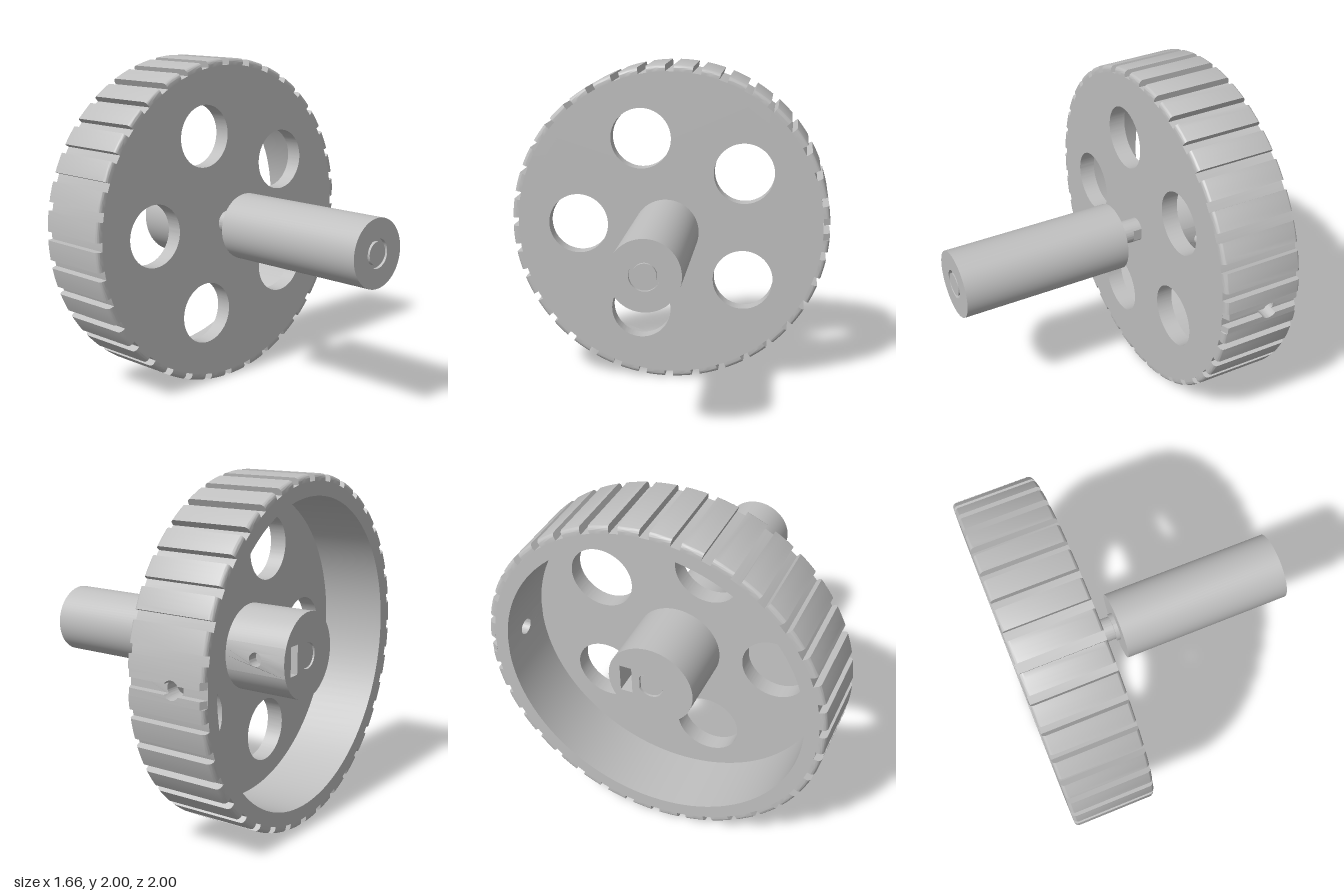
import * as THREE from 'three';
import { toCreasedNormals } from 'three/addons/utils/BufferGeometryUtils.js';

const X0 = -0.835, X1 = -0.355;          // wheel sides
const R = 1, FLOOR = 0.96, INNER = 0.88; // tread top, groove floor, rim inside
const TREADS = 36, HALF_GROOVE = 0.027;
const HUB = 0.25, HOLE_X = -0.64;
const PANEL = 0.07;                      // half angle of the drilled rim panel
const V = (x, y) => new THREE.Vector2(x, y);

export function createModel() {
  const grey = new THREE.MeshStandardMaterial({ color: 0xbfbfbf });
  grey.name = 'grey';
  const model = new THREE.Group();
  const wheel = new THREE.Group();
  wheel.name = 'wheel';
  const motor = new THREE.Group();
  motor.name = 'motor';
  wheel.position.y = motor.position.y = 1;
  model.add(wheel, motor);

  const add = (parent, name, geometry) => {
    const mesh = new THREE.Mesh(toCreasedNormals(geometry, 0.5), grey);
    mesh.name = name;
    parent.add(mesh);
  };
  // move every vertex by a rule
  const warp = (geometry, rule) => {
    const p = geometry.attributes.position;
    for (let i = 0; i < p.count; i++) p.setXYZ(i, ...rule(p.getX(i), p.getY(i), p.getZ(i)));
    return geometry;
  };
  const extrude = (shape, depth, steps = 1, curveSegments = 48) =>
    new THREE.ExtrudeGeometry(shape, { depth, steps, curveSegments, bevelEnabled: false });
  // plate in the wheel plane (shape x = -z), from x = a to x = b
  const plate = (shape, a, b, seg) =>
    extrude(shape, b - a, 1, seg).rotateY(Math.PI / 2).translate(a, 0, 0);
  // profile of [radius, x] points turned about the x axis
  const turn = (points, start = 0, length = Math.PI * 2, seg = 72) =>
    new THREE.LatheGeometry(points.map(([r, x]) => V(r, x)), seg, start, length).rotateZ(-Math.PI / 2);
  const circle = (x, y, r) => new THREE.Path().absarc(x, y, r, 0, Math.PI * 2, false);
  // round section with one flat
  const dSection = (r, flat, Type) => {
    const a = Math.acos(flat / r);
    const s = new Type();
    s.absarc(0, 0, r, a, Math.PI * 2 - a, false);
    s.closePath();
    return s;
  };

  // web with five round openings
  const web = new THREE.Shape();
  web.absarc(0, 0, INNER + 0.01, 0, Math.PI * 2, false);
  for (let i = 0; i < 5; i++) {
    const a = Math.PI + i * Math.PI * 0.4;
    web.holes.push(circle(0.575 * Math.cos(a), 0.575 * Math.sin(a), 0.188));
  }
  add(wheel, 'web', plate(web, X1 - 0.1, X1, 72));

  // rim drum, open where the drilled panel sits
  add(wheel, 'rim', turn(
    [[INNER, X0], [FLOOR, X0], [FLOOR, X1], [INNER, X1], [INNER, X0]],
    Math.PI + PANEL, Math.PI * 2 - PANEL * 2, 108));

  // bend a flat shape around the back of the wheel
  const bend = (geometry, r0) => warp(geometry, (p, q, d) => {
    const r = r0 + d, a = q / FLOOR;
    const x = r > 0.99 ? THREE.MathUtils.clamp(p, X0 + 0.02, X1 - 0.02) : p;
    return [x, -r * Math.sin(a), -r * Math.cos(a)];
  });
  const w = PANEL * FLOOR, access = 0.05;
  const rimPanel = new THREE.Shape([V(X0, -w), V(X1, -w), V(X1, w), V(X0, w)]);
  rimPanel.holes.push(circle(HOLE_X, 0, access));
  add(wheel, 'rimAccessHole', bend(extrude(rimPanel, FLOOR - INNER), INNER));

  // tread strips bitten by the access hole
  for (const s of [-1, 1]) {
    const pts = [V(X0, s * HALF_GROOVE)];
    const t0 = Math.asin(HALF_GROOVE / access);
    for (let i = 0; i <= 12; i++) {
      const t = Math.PI - t0 + (2 * t0 - Math.PI) * i / 12;
      pts.push(V(HOLE_X + access * Math.cos(t), s * access * Math.sin(t)));
    }
    pts.push(V(X1, s * HALF_GROOVE), V(X1, s * w), V(X0, s * w));
    add(wheel, 'treadBesideHole', bend(extrude(new THREE.Shape(pts), R - FLOOR), FLOOR));
  }

  // tread blocks with rounded shoulders and parallel groove walls
  const f = 0.025;
  const section = new THREE.Shape();
  section.moveTo(FLOOR - 0.005, X0);
  section.lineTo(R - f, X0);
  section.absarc(R - f, X0 + f, f, -Math.PI / 2, 0, false);
  section.absarc(R - f, X1 - f, f, 0, Math.PI / 2, false);
  section.lineTo(FLOOR - 0.005, X1);
  const pitch = Math.PI * 2 / TREADS;
  for (let i = 0; i < TREADS; i++) {
    const start = Math.PI + i * pitch;
    add(wheel, 'tread', warp(extrude(section, 1, 4, 5), (r, x, t) => {
      const gap = Math.asin(HALF_GROOVE / r);
      const lo = i === 0 ? PANEL : gap;
      const hi = pitch - (i === TREADS - 1 ? PANEL : gap);
      const a = start + hi + (lo - hi) * t;
      return [x, -r * Math.sin(a), r * Math.cos(a)];
    }));
  }

  // hub with shaft bore and nut slot
  const slot = 0.085, a = Math.asin(slot / HUB);
  const hub = new THREE.Shape();
  hub.absarc(0, 0, HUB, a, Math.PI * 2 - a, false);
  hub.lineTo(0.11, -slot);
  hub.lineTo(0.11, slot);
  hub.closePath();
  hub.holes.push(dSection(0.075, 0.064, THREE.Path));
  add(wheel, 'hub', plate(hub, X0, X1 - 0.09));

  // hub wall drilled for the set screw
  const ys = [-1, -0.5, 0, 0.5, 1].map((k) => k * slot);
  const wall = new THREE.Shape([
    ...ys.map((y) => V(X1 - 0.09, y)), ...ys.slice().reverse().map((y) => V(X0, y))]);
  wall.holes.push(circle(HOLE_X - 0.01, 0, 0.04));
  add(wheel, 'hubScrewHole', warp(extrude(wall, 1, 1, 24), (p, q, d) =>
    [p, -q, d > 0.5 ? -Math.sqrt(HUB * HUB - q * q) : -0.18]));

  // motor shaft: flatted length, then round length
  add(motor, 'shaftFlatted', plate(dSection(0.07, 0.06, THREE.Shape), X0 + 0.008, -0.3));
  add(motor, 'shaft', turn([[0, -0.3], [0.07, -0.3], [0.07, -0.2]]));

  // motor body with front boss and ring groove in the rear face
  add(motor, 'motorBoss', turn([[0, -0.215], [0.083, -0.215], [0.083, -0.18]]));
  add(motor, 'motorBody', turn([
    [0, -0.19], [0.2, -0.19], [0.2, 0.83], [0.085, 0.83],
    [0.085, 0.81], [0.067, 0.81], [0.067, 0.83], [0, 0.83]]));

  return model;
}
